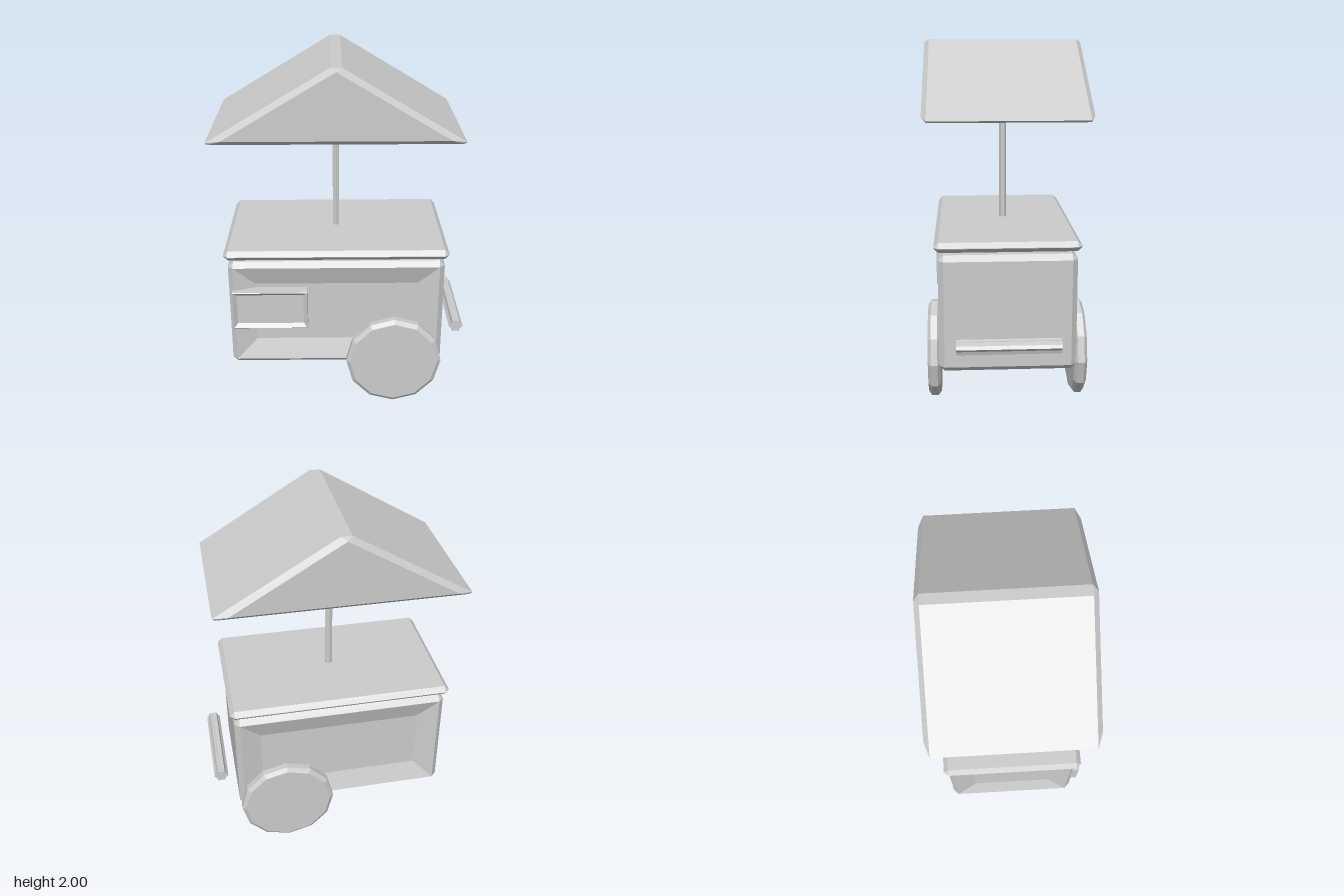
import * as THREE from 'three';
import { ConvexGeometry } from 'three/addons/geometries/ConvexGeometry.js';

const grey = new THREE.MeshStandardMaterial({ color: 0xcccccc });
grey.name = 'plain grey';

// Chamfered box between two corners; sides listed in `panels` ('+z', '-x', ...)
// get a sunken panel with sloping borders.
function panelBox(min, max, chamfer, panels = [], inset = 0, depth = 0) {
  const mid = min.map((v, i) => (v + max[i]) / 2);
  const half = min.map((v, i) => (max[i] - v) / 2);
  const out = [];
  const tri = (a, b, c, dir) => {
    const n = b.clone().sub(a).cross(c.clone().sub(a));
    const pts = n.dot(dir) < 0 ? [a, c, b] : [a, b, c];
    pts.forEach((p) => out.push(p.x + mid[0], p.y + mid[1], p.z + mid[2]));
  };
  const quad = (a, b, c, d, dir) => { tri(a, b, c, dir); tri(a, c, d, dir); };
  // Corner point lying on the face of `axis`, for a corner sign triple
  const corner = (axis, s, extra = 0, sink = 0) => new THREE.Vector3(
    ...half.map((h, i) => s[i] * (i === axis ? h - sink : h - chamfer - extra)));
  const signs = [-1, 1];

  for (let a = 0; a < 3; a++) {
    const u = (a + 1) % 3, v = (a + 2) % 3;
    const sign = (sa, su, sv) => { const s = []; s[a] = sa; s[u] = su; s[v] = sv; return s; };
    for (const sa of signs) {
      // Flat face or sunken panel
      const dir = new THREE.Vector3(...sign(sa, 0, 0));
      const loop = [[-1, -1], [1, -1], [1, 1], [-1, 1]].map(([p, q]) => sign(sa, p, q));
      const rim = loop.map((s) => corner(a, s));
      if (panels.includes((sa > 0 ? '+' : '-') + 'xyz'[a])) {
        const floor = loop.map((s) => corner(a, s, inset, depth));
        rim.forEach((p, i) => {
          const j = (i + 1) % 4;
          quad(p, rim[j], floor[j], floor[i], dir);
        });
        quad(...floor, dir);
      } else quad(...rim, dir);
      // Chamfer strips shared with the next axis
      for (const su of signs) {
        const s0 = sign(sa, su, -1), s1 = sign(sa, su, 1);
        quad(corner(a, s0), corner(a, s1), corner(u, s1), corner(u, s0),
          new THREE.Vector3(...sign(sa, su, 0)));
      }
    }
  }
  // Corner triangles
  for (const x of signs) for (const y of signs) for (const z of signs) {
    const s = [x, y, z];
    tri(corner(0, s), corner(1, s), corner(2, s), new THREE.Vector3(...s));
  }
  const g = new THREE.BufferGeometry();
  g.setAttribute('position', new THREE.Float32BufferAttribute(out, 3));
  g.computeVertexNormals();
  return g;
}

// Faceted copy of a geometry
function faceted(g) {
  const flat = g.index ? g.toNonIndexed() : g;
  flat.computeVertexNormals();
  return flat;
}

// Gable prism with narrow bevels round each end
function roofGeometry() {
  const ring = [[-0.715, 1.61], [-0.7, 1.6], [0.63, 1.6], [0.645, 1.61], [-0.005, 2], [-0.065, 2]];
  const gable = [[-0.635, 1.625], [0.565, 1.625], [-0.035, 1.985]];
  const pts = [];
  for (const s of [-1, 1]) {
    ring.forEach(([x, y]) => pts.push(new THREE.Vector3(x, y, s * 0.417)));
    gable.forEach(([x, y]) => pts.push(new THREE.Vector3(x, y, s * 0.445)));
  }
  return new ConvexGeometry(pts);
}

// Twelve-sided disc with bevelled rims, axis along z
function wheelGeometry() {
  const profile = [[0, -0.035], [0.252, -0.035], [0.275, -0.018], [0.275, 0.018], [0.252, 0.035], [0, 0.035]];
  const g = new THREE.LatheGeometry(profile.map(([r, y]) => new THREE.Vector2(r, y)), 12);
  return faceted(g.rotateX(Math.PI / 2));
}

// Fluted bar along z
function handleGeometry() {
  const shape = new THREE.Shape();
  for (let i = 0; i < 12; i++) {
    const r = i % 2 ? 0.031 : 0.041, t = (i * Math.PI) / 6;
    shape[i ? 'lineTo' : 'moveTo'](r * Math.cos(t), r * Math.sin(t));
  }
  shape.closePath();
  return faceted(new THREE.ExtrudeGeometry(shape, { depth: 0.56, bevelEnabled: false }).translate(0, 0, -0.28));
}

export function createModel() {
  const group = new THREE.Group();
  group.name = 'streetCart';
  const add = (name, geometry, x = 0, y = 0, z = 0) => {
    const mesh = new THREE.Mesh(geometry, grey);
    mesh.name = name;
    mesh.position.set(x, y, z);
    group.add(mesh);
  };

  // Body, with sunken panels on three sides, and counter top
  add('body', panelBox([-0.645, 0.235, -0.375], [0.575, 0.89, 0.375], 0.03, ['+z', '-z', '-x'], 0.117, 0.04));
  add('counterTop', panelBox([-0.665, 0.91, -0.395], [0.595, 0.965, 0.395], 0.026));

  // Framed sign board on the front
  add('signBoard', panelBox([-0.625, 0.49, 0.33], [-0.2, 0.72, 0.405], 0.003, ['+z'], 0.021, 0.02));

  // Canopy
  add('pole', faceted(new THREE.CylinderGeometry(0.021, 0.021, 0.66, 6)), -0.035, 1.285, 0);
  add('roof', roofGeometry());

  // Wheels and push handle
  const wheel = wheelGeometry();
  add('frontWheel', wheel, 0.295, 0.275, 0.403);
  add('backWheel', wheel, 0.295, 0.275, -0.403);
  add('handle', handleGeometry(), 0.67, 0.42, 0);

  return group;
}
